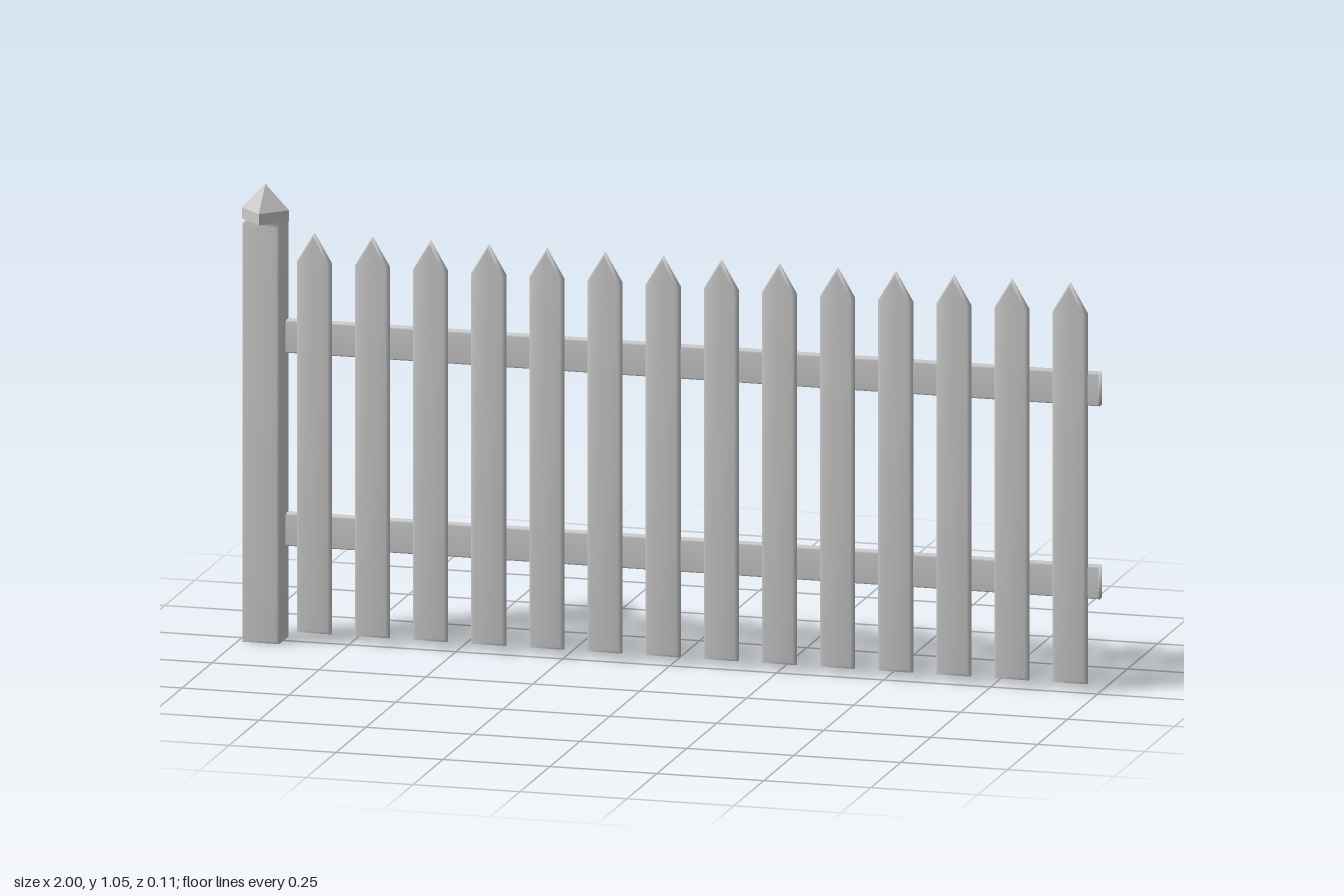
import * as THREE from 'three';
import { mergeVertices } from 'three/addons/utils/BufferGeometryUtils.js';

// Soft-edged board: an outline in x/y, extruded between two z values
function board(points, zBack, zFront, bevel) {
  const shape = new THREE.Shape(points.map(([x, y]) => new THREE.Vector2(x, y)));
  const geo = new THREE.ExtrudeGeometry(shape, {
    depth: zFront - zBack - 2 * bevel,
    bevelEnabled: true,
    bevelSegments: 1,
    bevelSize: bevel,
    bevelThickness: bevel,
    bevelOffset: -bevel,
  });
  geo.translate(0, 0, zBack + bevel);
  // Share corners so that the shading rolls over the bevels
  geo.deleteAttribute('normal');
  geo.deleteAttribute('uv');
  const smooth = mergeVertices(geo, 1e-5);
  smooth.computeVertexNormals();
  return smooth;
}

const rect = (x0, x1, y0, y1) => [[x0, y0], [x1, y0], [x1, y1], [x0, y1]];

export function createModel() {
  const group = new THREE.Group();
  group.name = 'picketFence';
  const paint = new THREE.MeshStandardMaterial({ color: 0xcccccc });
  paint.name = 'paleGrey';

  const add = (name, geo, parent = group) => {
    const mesh = new THREE.Mesh(geo, paint);
    mesh.name = name;
    parent.add(mesh);
    return mesh;
  };

  // End post
  const postX = -0.945;
  add('post', board(rect(postX - 0.043, postX + 0.043, 0.003, 0.973), -0.043, 0.043, 0.006));

  // Post cap: a diamond block with a pyramid on it, faceted
  const capBase = new THREE.CylinderGeometry(0.055, 0.055, 0.026, 4).toNonIndexed();
  capBase.computeVertexNormals();
  add('capBase', capBase).position.set(postX, 0.987, 0);
  const capPoint = new THREE.ConeGeometry(0.055, 0.058, 4, 1, true).toNonIndexed();
  capPoint.computeVertexNormals();
  add('capPoint', capPoint).position.set(postX, 1.029, 0);

  // Two rails behind the pickets
  for (const [name, y] of [['lowerRail', 0.256], ['upperRail', 0.703]]) {
    add(name, board(rect(-0.91, 1, y - 0.038, y + 0.038), -0.042, -0.015, 0.004));
  }

  // Fourteen pointed pickets
  const pickets = new THREE.Group();
  pickets.name = 'pickets';
  group.add(pickets);
  const w = 0.04;
  const picketGeo = board(
    [[-w, 0.022], [w, 0.022], [w, 0.88], [0, 0.948], [-w, 0.88]], -0.023, -0.001, 0.007);
  for (let i = 0; i < 14; i++) {
    add('picket', picketGeo, pickets).position.x = -0.834 + i * 0.1359;
  }

  return group;
}
